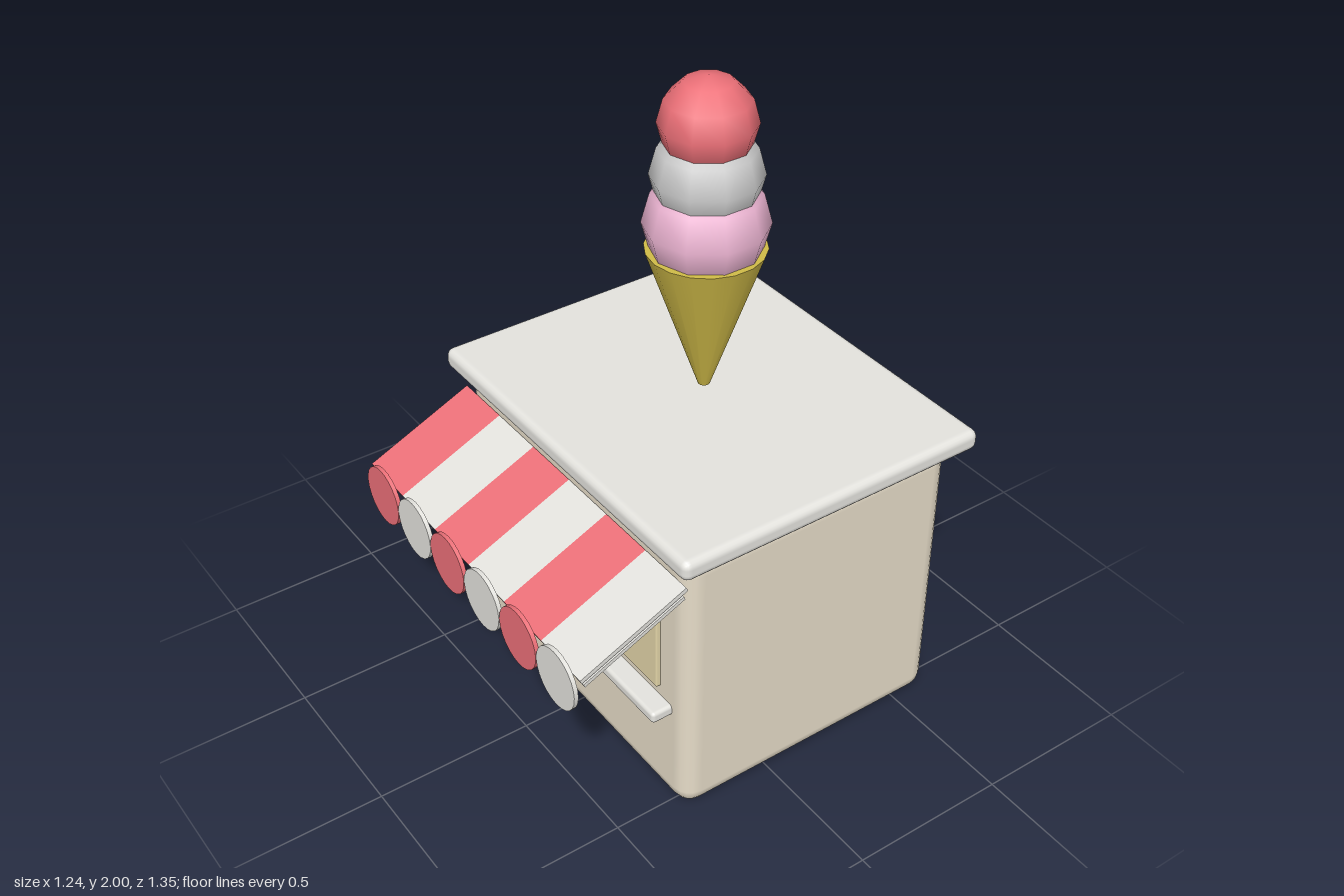
import * as THREE from 'three';
import { RoundedBoxGeometry } from 'three/addons/geometries/RoundedBoxGeometry.js';

const paint = (color) => new THREE.MeshStandardMaterial({ color });
const CREAM = paint(0xe6dcc8), PANE = paint(0xe3d5a8), WHITE = paint(0xe4e3de), GREY = paint(0xcccccc);
const RED = paint(0xec7078), PINK = paint(0xedb5d3), WAFER = paint(0xd0bb48);

function add(parent, name, geometry, material, x, y, z) {
  const mesh = new THREE.Mesh(geometry, material);
  mesh.name = name;
  mesh.position.set(x, y, z);
  parent.add(mesh);
  return mesh;
}

// Rounded box given by its lower and upper corners
function block(parent, name, [x0, y0, z0], [x1, y1, z1], radius, segments, material) {
  const geometry = new RoundedBoxGeometry(x1 - x0, y1 - y0, z1 - z0, segments, radius);
  return add(parent, name, geometry, material, (x0 + x1) / 2, (y0 + y1) / 2, (z0 + z1) / 2);
}

export function createModel() {
  const model = new THREE.Group();
  model.name = 'iceCreamStand';

  // Booth, roof slab, serving window and counter
  block(model, 'booth', [-0.568, 0, -0.62], [0.568, 0.94, 0.31], 0.06, 2, CREAM);
  block(model, 'roof', [-0.62, 0.933, -0.674], [0.62, 1, 0.356], 0.025, 2, WHITE);
  block(model, 'servingWindow', [-0.445, 0.415, 0.29], [0.445, 0.77, 0.325], 0.006, 1, PANE);
  block(model, 'counter', [-0.5, 0.342, 0.29], [0.5, 0.38, 0.376], 0.012, 2, WHITE);

  // Striped awning: two thin sloping plates per stripe, with a hanging disc at the front
  const awning = new THREE.Group();
  awning.name = 'awning';
  model.add(awning);
  const stripe = 0.19;
  const slope = Math.atan2(0.151, 0.343);
  const disc = new THREE.CylinderGeometry(0.094, 0.094, 0.013, 24).rotateX(Math.PI / 2);
  for (let i = 0; i < 6; i++) {
    const x = (i - 2.5) * stripe;
    const material = i % 2 ? WHITE : RED;
    const top = add(awning, 'awningStripe', new THREE.BoxGeometry(stripe, 0.014, 0.372), material, x, 0.791, 0.482);
    const under = add(awning, 'awningLining', new THREE.BoxGeometry(stripe, 0.012, 0.352), material, x, 0.769, 0.481);
    top.rotation.x = under.rotation.x = slope;
    add(awning, 'awningDisc', disc, material, x, 0.669, 0.667);
  }

  // Giant cone on the roof with three stacked scoops
  const sign = new THREE.Group();
  sign.name = 'iceCreamCone';
  sign.position.z = -0.158;
  model.add(sign);
  add(sign, 'waferCone', new THREE.CylinderGeometry(0.175, 0.018, 0.46, 18), WAFER, 0, 1.25, 0);
  const scoops = [[0.182, 1.555, PINK], [0.161, 1.705, GREY], [0.14, 1.86, RED]];
  for (const [radius, y, material] of scoops) {
    add(sign, 'scoop', new THREE.SphereGeometry(radius, 10, 6).rotateY(Math.PI / 2), material, 0, y, 0);
  }
  return model;
}
